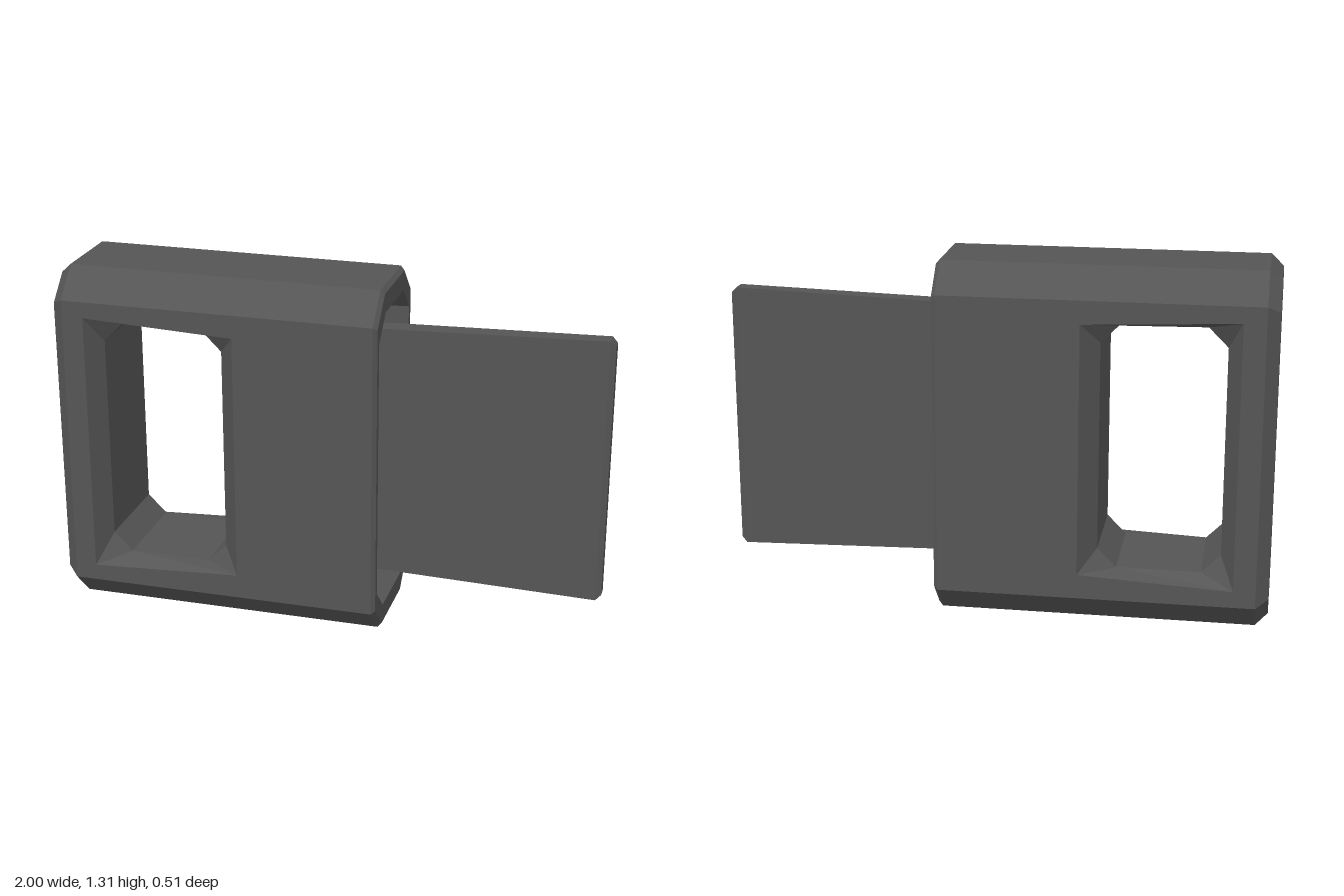
import * as THREE from 'three';

const V = (x, y, z) => new THREE.Vector3(x, y, z);

// Flat-shaded skin between successive rings of equal point count
function loft(rings, skip = () => false) {
  const pos = [];
  for (let i = 0; i < rings.length - 1; i++) {
    const n = rings[i].length;
    for (let j = 0; j < n; j++) {
      if (skip(i, j)) continue;
      const k = (j + 1) % n;
      const a = rings[i][j], b = rings[i][k], c = rings[i + 1][k], d = rings[i + 1][j];
      for (const p of [a, d, c, a, c, b]) pos.push(p.x, p.y, p.z);
    }
  }
  const g = new THREE.BufferGeometry();
  g.setAttribute('position', new THREE.Float32BufferAttribute(pos, 3));
  g.computeVertexNormals();
  return g;
}

// Chamfered rectangle across the x axis; cut 0 gives a plain rectangle
const section = (x, y0, y1, hz, cut) => [
  V(x, y0 + cut, hz), V(x, y1 - cut, hz), V(x, y1, hz - cut), V(x, y1, cut - hz),
  V(x, y1 - cut, -hz), V(x, y0 + cut, -hz), V(x, y0, cut - hz), V(x, y0, hz - cut),
];

export function createModel() {
  const group = new THREE.Group();
  const material = new THREE.MeshStandardMaterial({ color: 0x555555, flatShading: true });
  const add = (name, geometry) => {
    const mesh = new THREE.Mesh(geometry, material);
    mesh.name = name;
    group.add(mesh);
    return mesh;
  };
  const Z = 0.255, H = 1.31;

  // Housing: bevelled outside, then over the rim into the funnel and slot
  add('housing', loft([
    section(-1, H / 2, H / 2, 0, 0),
    section(-1, 0.04, H - 0.04, Z - 0.04, 0.09),
    section(-0.955, 0, H, Z, 0.105),
    section(0.195, 0, H, Z, 0.105),
    section(0.21, 0.015, H - 0.015, Z - 0.012, 0.1),
    section(0.21, 0.085, 1.225, 0.22, 0.09),
    section(0.02, 0.175, 1.135, 0.2, 0),
    section(0.02, 0.175, 1.135, 0.08, 0),
    section(-0.15, 0.175, 1.135, 0.04, 0),
    section(-0.15, H / 2, H / 2, 0, 0),
  ], (i, j) => i === 2 && (j === 0 || j === 4)));

  // Side faces, each with the slightly tapered window opening
  const mouth = [[-0.875, 0.165], [-0.875, 1.145], [-0.315, 1.12], [-0.315, 0.195]];
  const outline = [[-0.955, 0.105], [0.195, 0.105], [0.195, H - 0.105], [-0.955, H - 0.105]];
  const toPoints = (list) => list.map(([x, y]) => new THREE.Vector2(x, y));
  const shape = new THREE.Shape(toPoints(outline));
  shape.holes.push(new THREE.Path(toPoints(mouth)));
  for (const side of [1, -1]) {
    const face = new THREE.ShapeGeometry(shape);
    if (side < 0) face.index.array.reverse();
    face.computeVertexNormals();
    face.translate(0, 0, side * Z);
    add(side > 0 ? 'frontFace' : 'backFace', face);
  }

  // Window tunnel: bevel from the mouth to a chamfered throat on both sides
  const mouthRing = (z) => {
    const [bl, tl, tr, br] = mouth.map(([x, y]) => V(x, y, z));
    return [bl, tl, tl, tr, tr, br, br, bl];
  };
  const throatRing = (z) => {
    const x0 = -0.825, x1 = -0.38, y0 = 0.205, y1 = 1.11, c = 0.07;
    return [
      V(x0, y0 + c, z), V(x0, y1 - c, z), V(x0 + c, y1, z), V(x1 - c, y1, z),
      V(x1, y1 - c, z), V(x1, y0 + c, z), V(x1 - c, y0, z), V(x0 + c, y0, z),
    ];
  };
  add('windowTunnel', loft([mouthRing(Z), throatRing(0.18), throatRing(-0.18), mouthRing(-Z)]));

  // Blade: widens and thins towards its bevelled tip
  add('blade', loft([
    section(-0.14, 0.19, 1.12, 0.038, 0),
    section(0.98, 0.16, 1.155, 0.03, 0),
    section(1, 0.18, 1.135, 0.022, 0),
    section(1, H / 2, H / 2, 0, 0),
  ]));

  return group;
}
